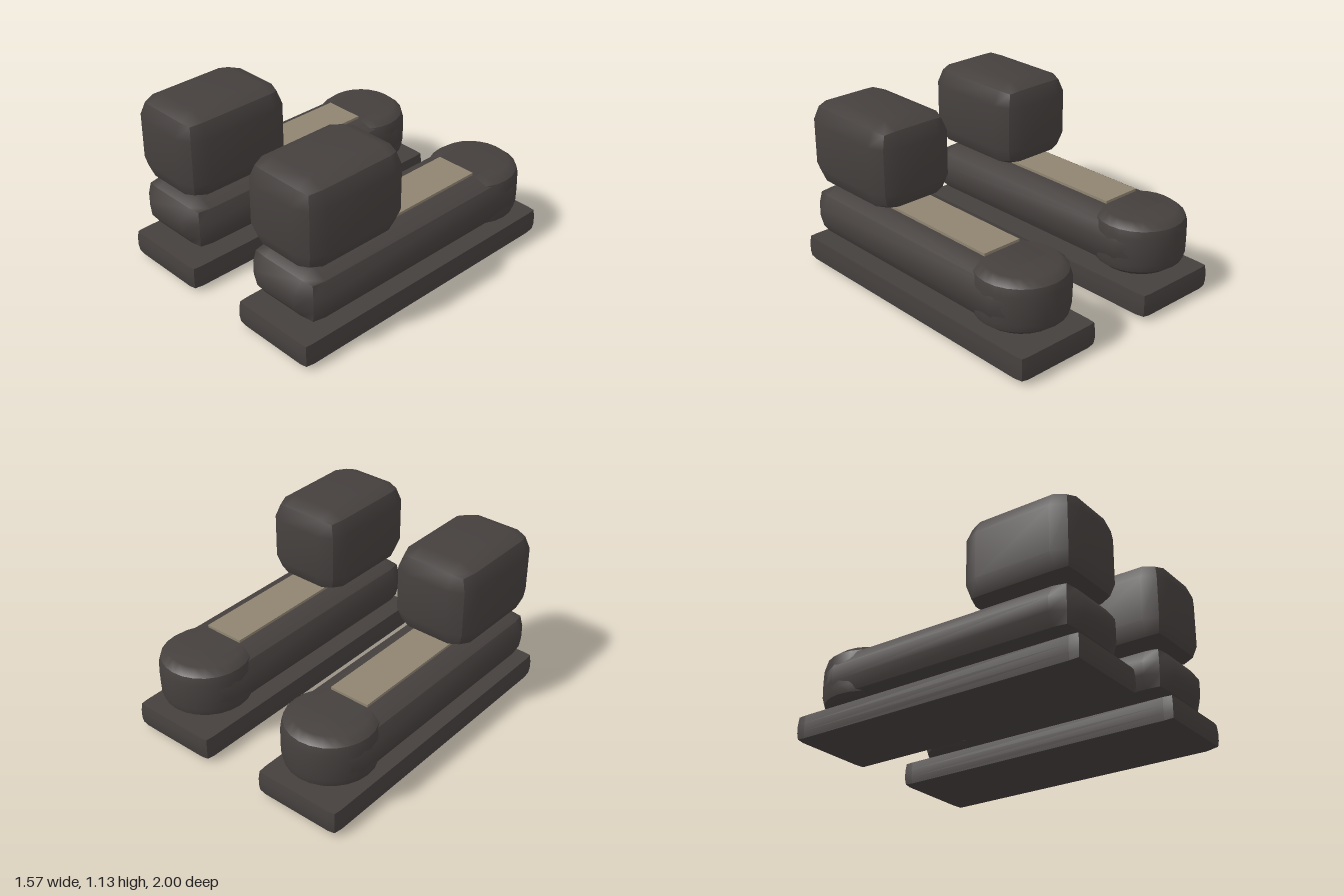
import * as THREE from 'three';

// Box with each side bulged outward, smooth within a side and creased along the edges.
// inner: coordinate of the inner grid lines; face, edge, corner: outer reach of those vertices.
function pillow({ inner, face, edge, corner, flatTop }) {
  const geo = new THREE.BoxGeometry(1, 1, 1, 3, 3, 3);
  const pos = geo.attributes.position;
  const reach = [null, face, edge, corner];
  for (let i = 0; i < pos.count; i++) {
    const v = [pos.getX(i), pos.getY(i), pos.getZ(i)];
    const outer = v.map((c) => Math.abs(c) > 0.4);
    const size = reach[outer.filter(Boolean).length];
    const p = v.map((c, k) => Math.sign(c) * (outer[k] ? size[k] : inner[k]));
    if (flatTop && outer[1] && v[1] > 0) p[1] = flatTop;
    pos.setXYZ(i, ...p);
  }
  geo.computeVertexNormals();
  return geo;
}

export function createModel() {
  const model = new THREE.Group();
  model.name = 'pairedBlocks';
  const charcoal = new THREE.MeshStandardMaterial({ color: 0x45403e });
  charcoal.name = 'charcoal';
  const tan = new THREE.MeshStandardMaterial({ color: 0x8f8470 });
  tan.name = 'tan';

  const baseGeo = pillow({
    inner: [0.235, 0.025, 0.93], face: [0.29, 0.095, 1.0],
    edge: [0.285, 0.068, 0.99], corner: [0.28, 0.063, 0.985], flatTop: 0.077,
  });
  const barGeo = pillow({
    inner: [0.15, 0.045, 0.77], face: [0.29, 0.175, 0.915],
    edge: [0.25, 0.122, 0.86], corner: [0.235, 0.12, 0.85],
  });
  const blockGeo = pillow({
    inner: [0.145, 0.145, 0.25], face: [0.283, 0.281, 0.387],
    edge: [0.24, 0.24, 0.345], corner: [0.213, 0.226, 0.325],
  });
  // Round end in three bands so the rims stay sharp
  const endBands = {
    roundEndTop: [[0.272, 0.522], [0.22, 0.563], [0, 0.564]],
    roundEndSide: [[0.272, 0.255], [0.285, 0.3], [0.287, 0.39], [0.285, 0.475], [0.272, 0.522]],
    roundEndBottom: [[0, 0.214], [0.22, 0.216], [0.272, 0.255]],
  };

  for (const [side, x] of [['left', 0.495], ['right', -0.495]]) {
    const unit = new THREE.Group();
    unit.name = side + 'Unit';
    unit.position.x = x;
    const add = (name, geo, mat, y, z) => {
      const mesh = new THREE.Mesh(geo, mat);
      mesh.name = name;
      mesh.position.set(0, y, z);
      unit.add(mesh);
    };

    add('base', baseGeo, charcoal, 0.098, 0);
    add('bar', barGeo, charcoal, 0.39, 0.04);
    add('headBlock', blockGeo, charcoal, 0.85, 0.567);
    // Thin inlay on top of the bar
    add('topStrip', new THREE.BoxGeometry(0.266, 0.018, 0.84), tan, 0.573, -0.105);
    for (const [name, pts] of Object.entries(endBands)) {
      const profile = pts.map(([r, y]) => new THREE.Vector2(r, y));
      add(name, new THREE.LatheGeometry(profile, 24), charcoal, 0, -0.682);
    }
    model.add(unit);
  }
  return model;
}
